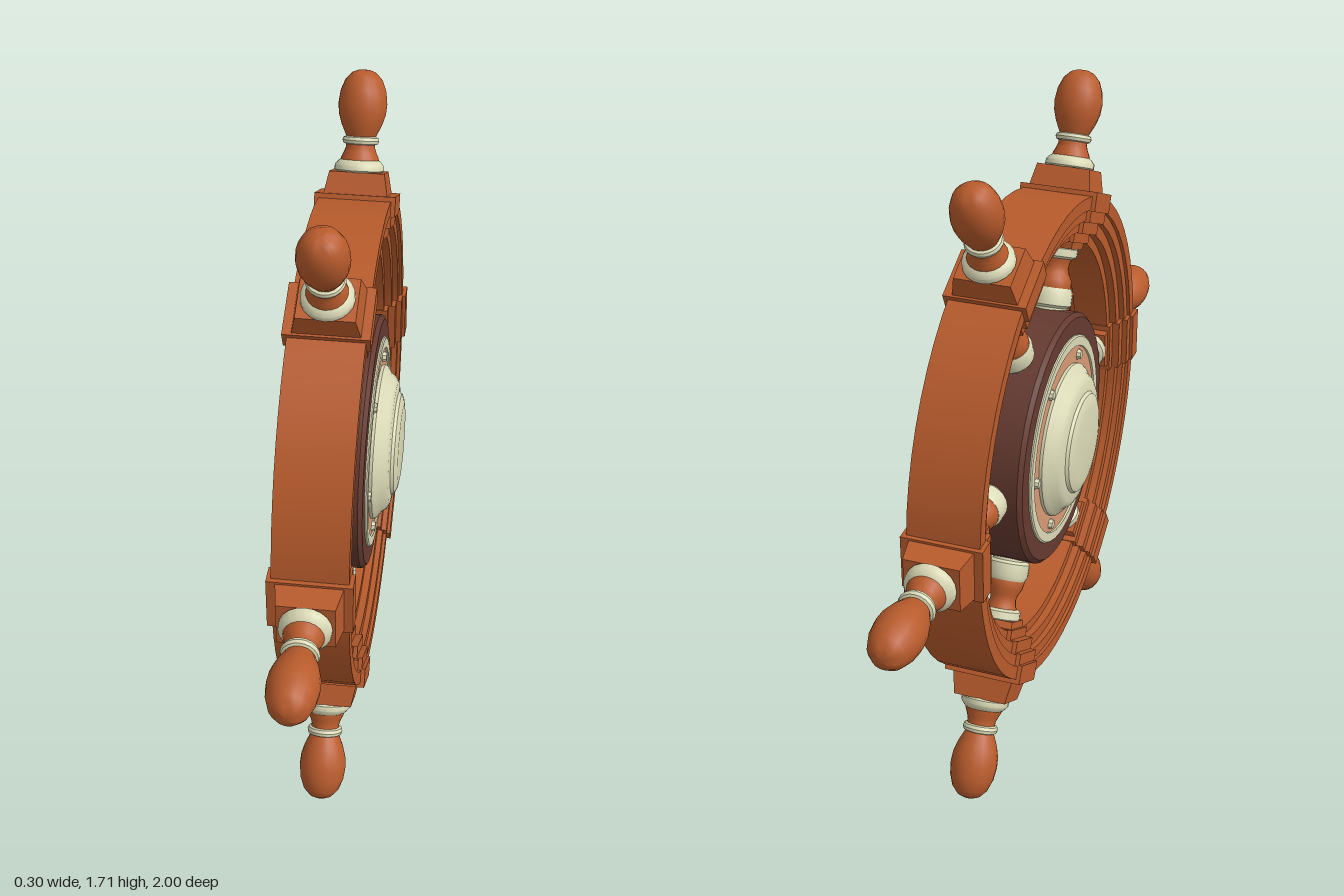
import * as THREE from 'three';
import { toCreasedNormals } from 'three/addons/utils/BufferGeometryUtils.js';

const material = (name, color) => {
  const m = new THREE.MeshStandardMaterial({ color });
  m.name = name;
  return m;
};
const wood = material('orange wood', 0xb85b2c);
const darkWood = material('dark brown wood', 0x653a30);
const cream = material('cream metal', 0xdad9b6);
const copper = material('pale copper', 0xd69972);

function add(parent, name, geometry, mat) {
  const mesh = new THREE.Mesh(toCreasedNormals(geometry, 0.6), mat);
  mesh.name = name;
  parent.add(mesh);
  return mesh;
}

function turned(parent, name, mat, profile, sides = 20) {
  const points = profile.map(([r, y]) => new THREE.Vector2(r, y));
  return add(parent, name, new THREE.LatheGeometry(points, sides), mat);
}

// Box from y0 to y1 whose top narrows to the given half widths
function taperedBox(parent, name, y0, y1, [bx, bz], [tx, tz]) {
  const geometry = new THREE.BoxGeometry(2, y1 - y0, 2);
  const p = geometry.attributes.position;
  for (let i = 0; i < p.count; i++) {
    const top = p.getY(i) > 0;
    p.setX(i, p.getX(i) * (top ? tx : bx));
    p.setZ(i, p.getZ(i) * (top ? tz : bz));
  }
  geometry.translate(0, (y0 + y1) / 2, 0);
  return add(parent, name, geometry, wood);
}

// Half of the stepped rim section: radius and half width, from outside inward
const rimHalf = [
  [0.638, 0.092], [0.604, 0.092], [0.604, 0.083], [0.575, 0.083],
  [0.575, 0.068], [0.545, 0.068], [0.545, 0.048], [0.52, 0.048],
];

// Block clasping the rim, following its stepped section slightly proud of it
function addRimBlock(spoke) {
  const right = rimHalf.map(([r, w], i) => new THREE.Vector2(w + 0.011, i < 2 && r > 0.61 ? r + 0.008 : r - 0.008));
  const left = right.map((v) => new THREE.Vector2(-v.x, v.y)).reverse();
  const geometry = new THREE.ExtrudeGeometry(new THREE.Shape([...right, ...left]), { depth: 0.142, bevelEnabled: false });
  geometry.translate(0, 0, -0.071);
  add(spoke, 'rimBlock', geometry, wood);
}

// One spoke along +y, from the hub out to the handle tip
function makeSpoke(length) {
  const spoke = new THREE.Group();
  spoke.name = 'spoke';

  turned(spoke, 'hubCollar', cream, [[0.046, 0.3], [0.046, 0.338], [0.055, 0.345], [0.055, 0.378], [0.049, 0.39], [0, 0.39]]);
  turned(spoke, 'innerBaluster', wood, [
    [0.047, 0.382], [0.049, 0.395], [0.046, 0.412], [0.037, 0.43], [0.034, 0.442], [0.037, 0.458], [0.044, 0.475],
  ]);
  turned(spoke, 'innerTrim', cream, [[0.042, 0.466], [0.052, 0.472], [0.053, 0.492], [0.046, 0.5]]);
  taperedBox(spoke, 'blockFoot', 0.494, 0.535, [0.05, 0.05], [0.055, 0.062]);
  addRimBlock(spoke);

  // Outer end, shortened as needed to reach the wanted length
  const outer = new THREE.Group();
  outer.name = 'outerSpoke';
  outer.position.y = 0.64;
  outer.scale.y = (length - 0.64) / 0.36;
  spoke.add(outer);
  taperedBox(outer, 'blockShoulder', 0, 0.07, [0.082, 0.066], [0.07, 0.058]);
  turned(outer, 'outerCollar', cream, [[0.058, 0.068], [0.064, 0.074], [0.063, 0.088], [0.054, 0.1], [0.045, 0.106]]);
  turned(outer, 'outerNeck', wood, [[0.05, 0.1], [0.047, 0.112], [0.041, 0.126], [0.037, 0.14], [0.038, 0.165]]);
  turned(outer, 'handleRing', cream, [[0.034, 0.146], [0.044, 0.15], [0.047, 0.159], [0.044, 0.168], [0.034, 0.172]]);
  turned(outer, 'handle', wood, [
    [0.034, 0.163], [0.041, 0.178], [0.052, 0.205], [0.06, 0.235], [0.062, 0.265],
    [0.058, 0.3], [0.047, 0.332], [0.03, 0.352], [0.014, 0.359], [0, 0.36],
  ]);
  return spoke;
}

// Metal cover on one side of the hub, facing +y before turning
function makeHubCover() {
  const cover = new THREE.Group();
  cover.name = 'hubCover';
  turned(cover, 'outerRing', cream, [[0.278, 0.07], [0.278, 0.09], [0.274, 0.093], [0.25, 0.093], [0.248, 0.08]], 40);
  turned(cover, 'copperRing', copper, [[0.252, 0.075], [0.252, 0.088], [0.19, 0.088]], 40);
  turned(cover, 'dome', cream, [
    [0.204, 0.08], [0.204, 0.096], [0.196, 0.105], [0.184, 0.112], [0.174, 0.126], [0.16, 0.133],
    [0.136, 0.136], [0.131, 0.144], [0.118, 0.149], [0.1, 0.152], [0, 0.152],
  ], 40);
  for (let i = 0; i < 6; i++) {
    const a = (i * Math.PI) / 3;
    const bolt = add(cover, 'bolt', new THREE.CylinderGeometry(0.012, 0.017, 0.016, 8), cream);
    bolt.position.set(0.226 * Math.sin(a), 0.09, 0.226 * Math.cos(a));
  }
  return cover;
}

export function createModel() {
  const model = new THREE.Group();
  model.name = 'shipWheel';
  const wheel = new THREE.Group();
  wheel.name = 'wheel';
  wheel.position.y = 0.848;
  model.add(wheel);

  // Stepped rim, mirrored about its middle plane
  const lower = rimHalf.map(([r, w]) => [r, -w]).reverse();
  const rim = turned(wheel, 'rim', wood, [...lower, ...rimHalf, lower[0]], 60);
  rim.rotation.z = -Math.PI / 2;

  // Hub drum with narrow softened edges
  const drum = turned(wheel, 'hubDrum', darkWood, [
    [0, -0.086], [0.324, -0.086], [0.335, -0.075], [0.335, 0.075], [0.324, 0.086], [0, 0.086],
  ], 40);
  drum.rotation.z = -Math.PI / 2;
  for (const side of [-1, 1]) {
    const cover = makeHubCover();
    cover.rotation.z = (-side * Math.PI) / 2;
    wheel.add(cover);
  }

  // Six spokes: angle from straight up towards the front, and length
  const spokes = [[25, 0.95], [-25.5, 0.955], [90, 1], [-90, 1], [148.5, 0.978], [-147.9, 0.978]];
  for (const [angle, length] of spokes) {
    const spoke = makeSpoke(length);
    spoke.rotation.x = THREE.MathUtils.degToRad(angle);
    wheel.add(spoke);
  }
  return model;
}
